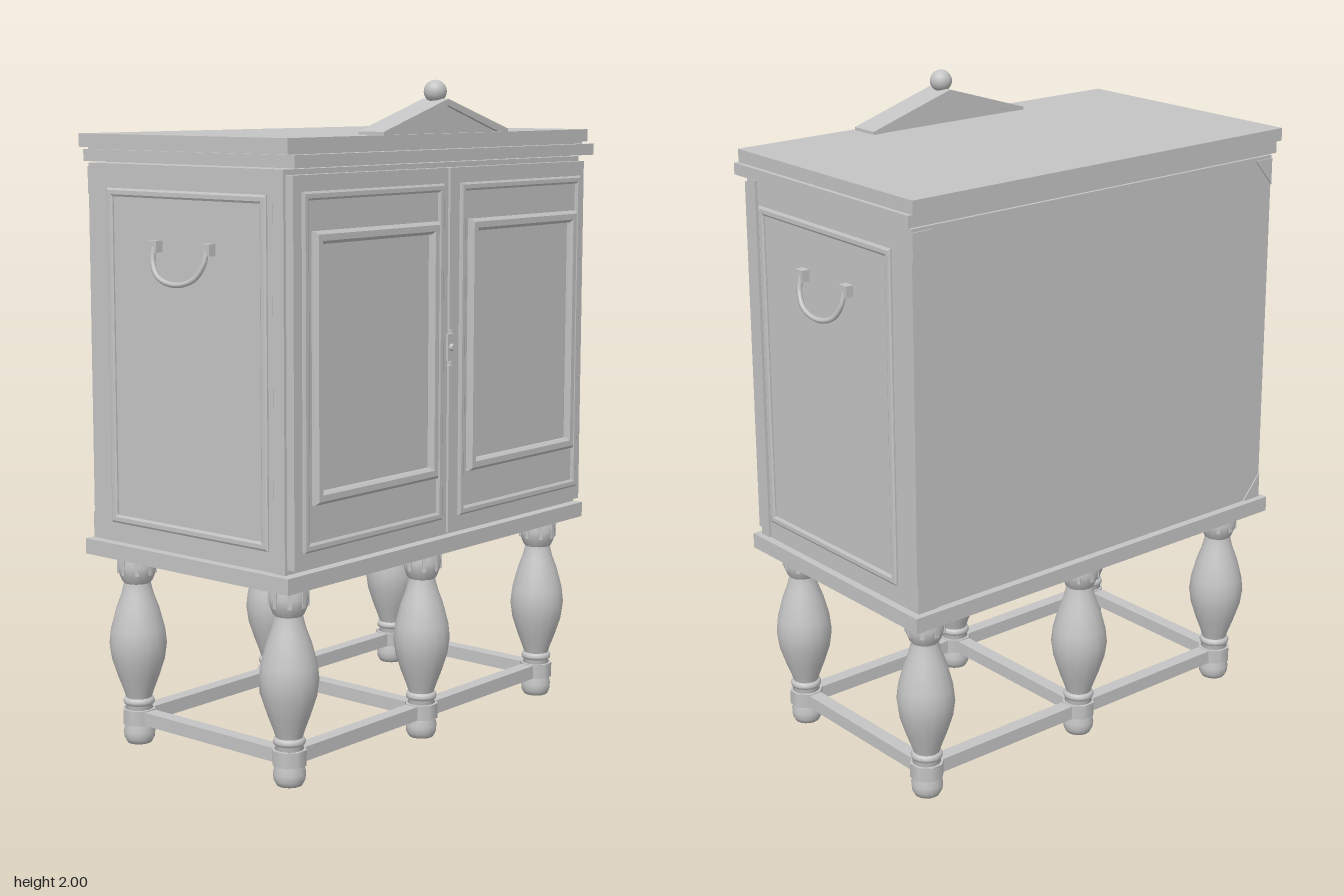
import * as THREE from 'three';

const grey = new THREE.MeshStandardMaterial({ color: 0xc4c4c4 });
grey.name = 'plainGrey';

export function createModel() {
  const root = new THREE.Group();
  root.name = 'cabinetOnStand';

  function add(name, geometry, x = 0, y = 0, z = 0, parent = root) {
    const mesh = new THREE.Mesh(geometry, grey);
    mesh.name = name;
    mesh.position.set(x, y, z);
    parent.add(mesh);
    return mesh;
  }

  // box given by its limits on each axis
  function box(name, x0, x1, y0, y1, z0, z1, parent = root) {
    return add(name, new THREE.BoxGeometry(x1 - x0, y1 - y0, z1 - z0),
      (x0 + x1) / 2, (y0 + y1) / 2, (z0 + z1) / 2, parent);
  }

  // rectangular moulding with sloped edges, back face on z = 0
  function frame(w, h, t, d) {
    const rect = (S, a, b) => {
      const s = new S();
      s.moveTo(-a, -b); s.lineTo(a, -b); s.lineTo(a, b); s.lineTo(-a, b); s.closePath();
      return s;
    };
    const bevel = t * 0.25;
    const shape = rect(THREE.Shape, w / 2 - bevel, h / 2 - bevel);
    shape.holes.push(rect(THREE.Path, w / 2 - t + bevel, h / 2 - t + bevel));
    const g = new THREE.ExtrudeGeometry(shape, {
      depth: d * 0.4, bevelEnabled: true, bevelSize: bevel, bevelThickness: d * 0.3, bevelSegments: 1,
    });
    return g.translate(0, 0, d * 0.3);
  }

  function extrude(points, depth) {
    return new THREE.ExtrudeGeometry(new THREE.Shape(points.map(p => new THREE.Vector2(...p))),
      { depth, bevelEnabled: false });
  }

  // carcass, base board and cornice
  box('carcass', -0.695, 0.695, 0.64, 1.76, -0.4, 0.33);
  box('frontFrame', -0.7, 0.7, 0.64, 1.76, 0.335, 0.375);
  box('frontFrameJoint', -0.69, 0.69, 0.64, 1.76, 0.325, 0.34);
  box('baseBoard', -0.715, 0.715, 0.59, 0.637, -0.42, 0.4);
  box('corniceLower', -0.71, 0.71, 1.765, 1.8, -0.405, 0.425);
  box('corniceJoint', -0.695, 0.695, 1.795, 1.81, -0.4, 0.39);
  box('topBoard', -0.71, 0.71, 1.806, 1.845, -0.425, 0.4);

  // doors with two nested mouldings
  for (const s of [-1, 1]) {
    const door = new THREE.Group();
    door.name = s > 0 ? 'leftDoor' : 'rightDoor';
    door.position.x = s * 0.35;
    root.add(door);
    box('doorLeaf', -0.34, 0.34, 0.655, 1.745, 0.375, 0.402, door);
    add('outerMoulding', frame(0.62, 1.0, 0.024, 0.013), 0, 1.2, 0.402, door);
    add('innerMoulding', frame(0.55, 0.76, 0.036, 0.027), 0, 1.212, 0.402, door);
  }
  // centre strip and lock plate
  box('centreStripTop', -0.008, 0.008, 1.27, 1.745, 0.375, 0.408);
  box('centreStripBottom', -0.008, 0.008, 0.655, 1.16, 0.375, 0.408);
  box('lockPlate', -0.016, 0.016, 1.175, 1.255, 0.402, 0.41);
  const knob = add('lockKnob', new THREE.CylinderGeometry(0.01, 0.012, 0.012, 12), 0, 1.215, 0.414);
  knob.rotation.x = Math.PI / 2;

  // side mouldings and drop handles
  for (const s of [-1, 1]) {
    const side = new THREE.Group();
    side.name = s > 0 ? 'leftSide' : 'rightSide';
    side.rotation.y = s * Math.PI / 2;
    side.position.x = s * 0.695;
    root.add(side);
    add('sideMoulding', frame(0.63, 0.99, 0.024, 0.012), 0, 1.195, 0, side);
    const u = s * 0.008;
    for (const k of [-1, 1]) {
      box('handleMount', u + k * 0.105 - 0.017, u + k * 0.105 + 0.017, 1.513, 1.547, 0, 0.025, side);
    }
    const path = new THREE.CatmullRomCurve3([
      [-0.105, 1.53, 0.018], [-0.1, 1.485, 0.028], [-0.07, 1.445, 0.037], [0, 1.427, 0.041],
      [0.07, 1.445, 0.037], [0.1, 1.485, 0.028], [0.105, 1.53, 0.018],
    ].map(p => new THREE.Vector3(...p)));
    add('handleBail', new THREE.TubeGeometry(path, 28, 0.008, 8), u, 0, 0, side);
  }

  // small corner plates on the back
  for (const s of [-1, 1]) {
    const pts = (y, dy) => [[s * 0.695, y], [s * 0.625, y], [s * 0.695, y + dy]];
    add('backCornerBottom', extrude(pts(0.64, 0.08), 0.004), 0, 0, -0.404);
    add('backCornerTop', extrude(pts(1.75, -0.08), 0.004), 0, 0, -0.404);
  }

  // pediment with sloped edge mouldings and ball
  add('pediment', extrude([[-0.28, 1.845], [0.28, 1.845], [0, 1.932]], 0.08), 0, 0, 0.3);
  add('pedimentMoulding', extrude([[-0.295, 1.845], [-0.25, 1.845], [0, 1.926], [0.25, 1.845],
    [0.295, 1.845], [0.295, 1.854], [0, 1.945], [-0.295, 1.854]], 0.095), 0, 0, 0.297);
  add('finialBall', new THREE.SphereGeometry(0.034, 20, 14), 0, 1.966, 0.343);

  // turned legs
  const legXs = [-0.605, 0, 0.605];
  const legZs = [-0.315, 0.303];
  const lathe = (pts, n) => new THREE.LatheGeometry(pts.map(([r, y]) => new THREE.Vector2(r, y)), n);
  const foot = lathe([[0, 0], [0.038, 0], [0.046, 0.015], [0.048, 0.035], [0.042, 0.062]], 16);
  const block = new THREE.CylinderGeometry(0.052, 0.052, 0.046, 8);
  block.rotateY(Math.PI / 8);
  const ring = lathe([[0.035, 0.104], [0.043, 0.107], [0.038, 0.118], [0.046, 0.122], [0.048, 0.13],
    [0.045, 0.138], [0.038, 0.142]], 16);
  const bulb = lathe([[0.038, 0.138], [0.045, 0.16], [0.062, 0.205], [0.08, 0.26], [0.087, 0.31],
    [0.082, 0.355], [0.065, 0.42], [0.05, 0.46], [0.042, 0.49], [0.04, 0.502]], 16);
  const cap = lathe([[0.036, 0.494], [0.046, 0.505], [0.056, 0.53], [0.059, 0.55], [0.055, 0.575],
    [0.05, 0.592]], 16);
  for (const x of legXs) for (const z of legZs) {
    const leg = new THREE.Group();
    leg.name = 'leg';
    leg.position.set(x, 0, z);
    root.add(leg);
    add('foot', foot, 0, 0, 0, leg);
    add('stretcherBlock', block, 0, 0.083, 0, leg);
    add('ring', ring, 0, 0, 0, leg);
    add('bulb', bulb, 0, 0, 0, leg);
    add('cap', cap, 0, 0, 0, leg);
    // flutes around the cap
    for (let i = 0; i < 8; i++) {
      const a = i * Math.PI / 4;
      const rib = add('capRib', new THREE.BoxGeometry(0.012, 0.055, 0.014),
        Math.sin(a) * 0.053, 0.555, Math.cos(a) * 0.053, leg);
      rib.rotation.y = a;
    }
  }

  // stretchers
  for (const z of legZs) box('longStretcher', -0.605, 0.605, 0.061, 0.104, z - 0.022, z + 0.022);
  for (const x of legXs) box('crossStretcher', x - 0.022, x + 0.022, 0.062, 0.103, legZs[0], legZs[1]);

  return root;
}
